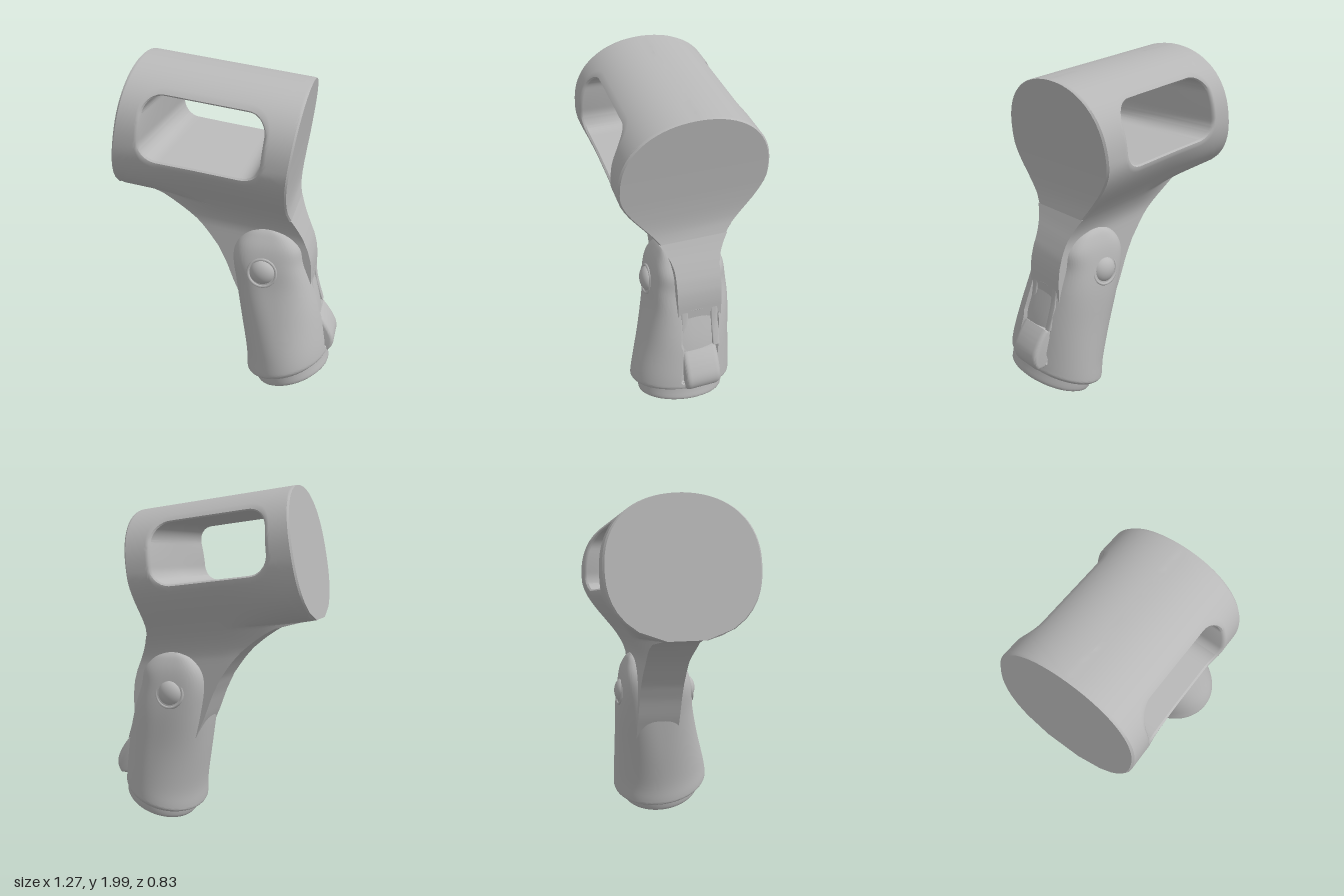
import * as THREE from 'three';
import { toCreasedNormals } from 'three/addons/utils/BufferGeometryUtils.js';

const { lerp, clamp, smoothstep } = THREE.MathUtils;
const SLOPE = 0.119; // the holder leans: y = t - SLOPE * x

// Skin closed rings of equal length, optionally capping both ends.
function loft(rings, capped, crease = 0.6) {
  const n = rings[0].length, pos = [], idx = [];
  rings.forEach(r => r.forEach(p => pos.push(...p)));
  for (let i = 0; i < rings.length - 1; i++) {
    for (let j = 0; j < n; j++) {
      const k = (j + 1) % n, a = i * n, b = a + n;
      idx.push(a + j, b + j, b + k, a + j, b + k, a + k);
    }
  }
  if (capped) {
    [rings[0], rings[rings.length - 1]].forEach((r, e) => {
      const c = pos.length / 3, o = e * (rings.length - 1) * n;
      pos.push(...[0, 1, 2].map(d => r.reduce((s, p) => s + p[d], 0) / n));
      for (let j = 0; j < n; j++) {
        const k = (j + 1) % n;
        idx.push(c, o + (e ? k : j), o + (e ? j : k));
      }
    });
  }
  const g = new THREE.BufferGeometry();
  g.setAttribute('position', new THREE.Float32BufferAttribute(pos, 3));
  g.setIndex(idx);
  return toCreasedNormals(g, crease);
}

// Piecewise linear lookup in [key, value] pairs with falling keys.
function table(pairs, t) {
  for (let i = 1; i < pairs.length; i++) {
    const [a, u] = pairs[i - 1], [b, v] = pairs[i];
    if (t >= b || i === pairs.length - 1) return lerp(u, v, clamp((a - t) / (a - b), 0, 1));
  }
}

// Left and right edges of holder and neck at height t
const leftEdge = t => table([[1.94, -0.51], [1.194, -0.64], [1.188, -0.55], [1.167, -0.41], [1.14, -0.35],
  [1.1, -0.28], [1.04, -0.2], [0.98, -0.145], [0.9, -0.085], [0.8, -0.035], [0.68, 0.01], [0.56, 0.065], [0.4, 0.14]], t);
const rightEdge = t => table([[1.94, 0.415], [1.6, 0.368], [1.44, 0.348], [1.32, 0.337], [1.25, 0.338], [1.194, 0.352],
  [1.13, 0.38], [1.07, 0.41], [0.99, 0.445], [0.92, 0.465], [0.85, 0.472], [0.72, 0.472], [0.56, 0.45], [0.4, 0.45]], t);

// Half thickness: round at the left end, drawn down into the neck at the right
const arc = d => 0.415 * Math.pow(Math.max(0, 1 - Math.pow(d, 2.35)), 1 / 2.2);
function halfWidth(t, x) {
  if (t > 1.56) return arc((t - 1.56) / 0.38);
  const round = Math.max(0.1, arc((1.56 - t) / 0.375));
  const drawn = 0.13 + 0.285 * smoothstep(t, 1.03, 1.55);
  return lerp(round, drawn, smoothstep(x, -0.64, -0.1));
}

const TOP = 1.94, BASE = 1.194;
const tOf = q => TOP - (TOP - BASE) * q * q;
const qOf = t => Math.sqrt((TOP - t) / (TOP - BASE));

// Holder: egg-section block with a rounded window running through it
function holderGeometry() {
  const M = 28, square = [];
  const corners = [[-1, -1], [1, -1], [1, 1], [-1, 1]];
  corners.forEach((c, s) => {
    const d = corners[(s + 1) % 4];
    for (let i = 0; i < M; i++) square.push([lerp(c[0], d[0], i / M), lerp(c[1], d[1], i / M)]);
  });
  const windowPoint = ([a, b], grow) => {
    const hx = 0.323 + grow, ht = 0.17 + grow, r = 0.1 + grow;
    const x = a * hx, t = b * ht;
    const ix = clamp(x, r - hx, hx - r), it = clamp(t, r - ht, ht - r);
    const len = Math.hypot(x - ix, t - it) || 1;
    const wt = it + (t - it) / len * r;
    return [-0.103 + ix + (x - ix) / len * r + wt * 0.1, 1.645 + wt];
  };
  const put = (x, t, z) => [x, t - SLOPE * x, z];
  const hole = (grow, zOf) => square.map(p => {
    const [x, t] = windowPoint(p, grow);
    return put(x, t, zOf(halfWidth(t, x)));
  });
  const sheet = (k, inset, drop) => square.map(p => {
    const [x, t] = windowPoint(p, 0.025);
    const L = leftEdge(t), R = rightEdge(t);
    const u = lerp((x - L) / (R - L), (p[0] + 1) / 2, k);
    const tk = tOf(lerp(qOf(t), (1 - p[1]) / 2, k));
    const xk = lerp(leftEdge(tk) + inset, rightEdge(tk) - inset, u);
    return put(xk, tk, Math.max(0, halfWidth(tk, xk) - drop));
  });
  const half = [hole(0, () => 0), hole(0, w => w - 0.018), hole(0.008, w => w - 0.005)];
  for (let i = 0; i <= 16; i++) half.push(sheet(i / 16, 0.01, 0));
  half.push(sheet(1, 0, 0.01));
  const back = half.map(r => r.map(([x, y, z]) => [x, y, -z])).reverse();
  return loft([...half, ...back], false);
}

// Neck: plate that sweeps down from the holder into the clamp
function neckGeometry() {
  const heights = [1.194, 1.188, 1.178, 1.167];
  for (let t = 1.14; t > 0.4; t -= 0.03) heights.push(t);
  const rings = heights.reverse().map(t => {
    const ring = [], N = 24;
    for (const side of [1, -1]) {
      for (let i = 0; i <= N; i++) {
        const x = lerp(rightEdge(t), leftEdge(t), side > 0 ? i / N : 1 - i / N);
        ring.push([x, t - SLOPE * x, side * halfWidth(t, x)]);
      }
    }
    return ring;
  });
  return loft(rings, true);
}

// Loft through rows of [xc, yc, zc, halfX, halfZ, tilt, squareness]
function sleeve(rows, steps, shape) {
  const spline = new THREE.CubicInterpolant(rows.map((_, i) => i), rows.flat(), 7);
  const rings = [], N = 128;
  for (let i = 0; i <= (rows.length - 1) * steps; i++) {
    const [xc, yc, zc, a, b, k, n] = [...spline.evaluate(i / steps)];
    const ring = [];
    for (let j = 0; j < N; j++) {
      const c = Math.cos(j / N * Math.PI * 2), s = Math.sin(j / N * Math.PI * 2);
      const dx = a * Math.sign(c) * Math.pow(Math.abs(c), 2 / n);
      const dz = b * Math.sign(s) * Math.pow(Math.abs(s), 2 / n);
      const p = [xc + dx, yc + k * (0.36 * dx + 0.11 * dz), zc + dz];
      if (shape && c > 0) shape(p);
      ring.push(p);
    }
    rings.push(ring);
  }
  return loft(rings, true);
}

export function createModel() {
  const model = new THREE.Group();
  model.name = 'clipHolder';
  const plastic = new THREE.MeshStandardMaterial({ color: 0xb8b8b8 });
  plastic.name = 'greyPlastic';
  const add = (name, geometry, x = 0, y = 0, z = 0) => {
    const m = new THREE.Mesh(geometry, plastic);
    m.name = name;
    m.position.set(x, y, z);
    model.add(m);
    return m;
  };

  add('holder', holderGeometry());
  add('neck', neckGeometry());

  // Clamp: round tilted socket rising into two arched arms, grooved at the side
  add('clamp', sleeve([
    [0.348, 0.155, 0.075, 0.228, 0.288, 1, 2],
    [0.345, 0.172, 0.075, 0.246, 0.304, 1, 2],
    [0.342, 0.2, 0.075, 0.248, 0.307, 1, 2],
    [0.332, 0.3, 0.066, 0.245, 0.296, 0.85, 2.05],
    [0.295, 0.5, 0.04, 0.246, 0.266, 0.5, 2.3],
    [0.25, 0.7, 0.015, 0.234, 0.24, 0.2, 2.8],
    [0.215, 0.85, 0.01, 0.216, 0.222, 0, 3.4],
    [0.213, 0.95, 0.005, 0.195, 0.2, 0, 3.8],
    [0.21, 1.02, 0, 0.135, 0.168, 0, 3.8],
    [0.208, 1.05, 0, 0.07, 0.145, 0, 3.8],
    [0.208, 1.058, 0, 0.015, 0.132, 0, 3.8],
  ], 5, p => {
    const mid = lerp(0.025, 0, clamp((p[1] - 0.3) / 0.4, 0, 1));
    if (p[1] > 0.3 && p[1] < 0.72 && Math.abs(p[2] - mid) < 0.11) p[0] -= 0.02;
  }));

  // Threaded plug showing under the socket
  add('plug', sleeve([
    [0.385, 0.092, 0.09, 0.205, 0.245, 1.08, 2],
    [0.382, 0.105, 0.088, 0.218, 0.258, 1.08, 2],
    [0.372, 0.15, 0.083, 0.22, 0.262, 1.05, 2],
    [0.362, 0.22, 0.078, 0.22, 0.262, 1, 2],
  ], 3));

  // Pivot knobs with a thin collar on both arms
  for (const [side, z] of [['front', 0.215], ['back', -0.19]]) {
    const s = Math.sign(z);
    add(side + 'Knob', new THREE.SphereGeometry(0.078, 32, 20), 0.2, 0.82, z).scale.z = 0.7;
    add(side + 'KnobCollar', new THREE.TorusGeometry(0.082, 0.009, 8, 40), 0.2, 0.82, z + s * 0.017)
      .rotation.x = -s * 0.16;
  }

  // Latch in the side groove: rounded tab and the two-pronged catch above it
  const tab = new THREE.Shape();
  tab.moveTo(0.46, 0.5);
  tab.lineTo(0.535, 0.5);
  tab.quadraticCurveTo(0.58, 0.45, 0.605, 0.4);
  tab.quadraticCurveTo(0.65, 0.32, 0.6, 0.26);
  tab.lineTo(0.5, 0.26);
  const extrude = (shape, depth, bevel) => toCreasedNormals(new THREE.ExtrudeGeometry(shape, {
    depth, bevelSize: bevel, bevelThickness: bevel * 1.5, bevelOffset: -bevel, bevelSegments: 4, curveSegments: 10,
  }), 0.6);
  add('latchTab', extrude(tab, 0.15, 0.02), 0, 0, -0.055);

  const prong = new THREE.Shape([[0.43, 0.5], [0.53, 0.5], [0.512, 0.56], [0.488, 0.64], [0.472, 0.74], [0.4, 0.74]]
    .map(p => new THREE.Vector2(...p)));
  for (const z of [-0.1, 0.078]) add('latchCatch', extrude(prong, 0.026, 0.005), 0, 0, z);

  return model;
}
